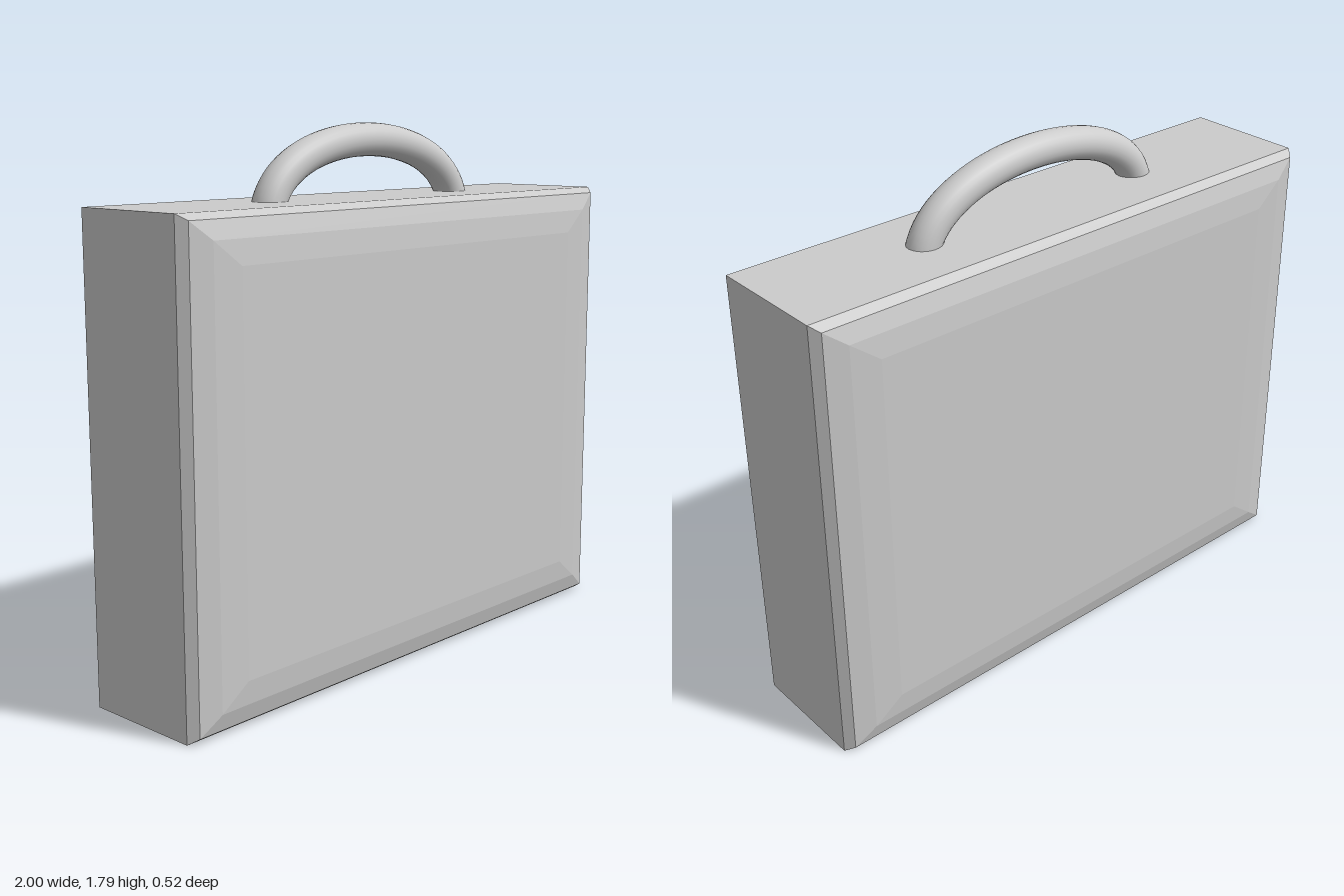
import * as THREE from 'three';

const W = 1, H = 0.775, MID = 0.775; // half width, half height, centre height

// Closed solid lofted through rectangles [z, scale], listed back to front
function loftRectangles(sections) {
  const pos = [];
  const corners = ([z, s]) => [[-1, -1], [1, -1], [1, 1], [-1, 1]].map(([x, y]) => [x * W * s, MID + y * H * s, z]);
  const quad = (a, b, c, d) => pos.push(...a, ...b, ...c, ...a, ...c, ...d);
  const rings = sections.map(corners);
  for (let i = 0; i < rings.length - 1; i++) {
    for (let k = 0; k < 4; k++) {
      const n = (k + 1) % 4;
      quad(rings[i][k], rings[i][n], rings[i + 1][n], rings[i + 1][k]);
    }
  }
  quad(...rings[rings.length - 1]);
  quad(...rings[0].slice().reverse());
  const geo = new THREE.BufferGeometry();
  geo.setAttribute('position', new THREE.Float32BufferAttribute(pos, 3));
  geo.computeVertexNormals();
  return geo;
}

export function createModel() {
  const group = new THREE.Group();

  // Case body: straight sides, stepped bevels swelling to the front and back panels
  const bevel = [[0.208, 1], [0.238, 0.975], [0.255, 0.9], [0.262, 0.8]];
  const sections = [...bevel.map(([z, s]) => [-z, s]).reverse(), ...bevel];
  const body = new THREE.Mesh(
    loftRectangles(sections),
    new THREE.MeshStandardMaterial({ color: 0xcccccc, flatShading: true })
  );
  body.name = 'caseBody';
  group.add(body);

  // Carrying handle: round bar arched over the top, ends sunk into the body
  const arch = new THREE.CubicBezierCurve3(
    new THREE.Vector3(-0.447, 1.53, 0),
    new THREE.Vector3(-0.37, 1.803, 0),
    new THREE.Vector3(0.37, 1.803, 0),
    new THREE.Vector3(0.447, 1.53, 0)
  );
  const handle = new THREE.Mesh(
    new THREE.TubeGeometry(arch, 48, 0.055, 24),
    new THREE.MeshStandardMaterial({ color: 0xcccccc })
  );
  handle.name = 'handle';
  group.add(handle);

  return group;
}
